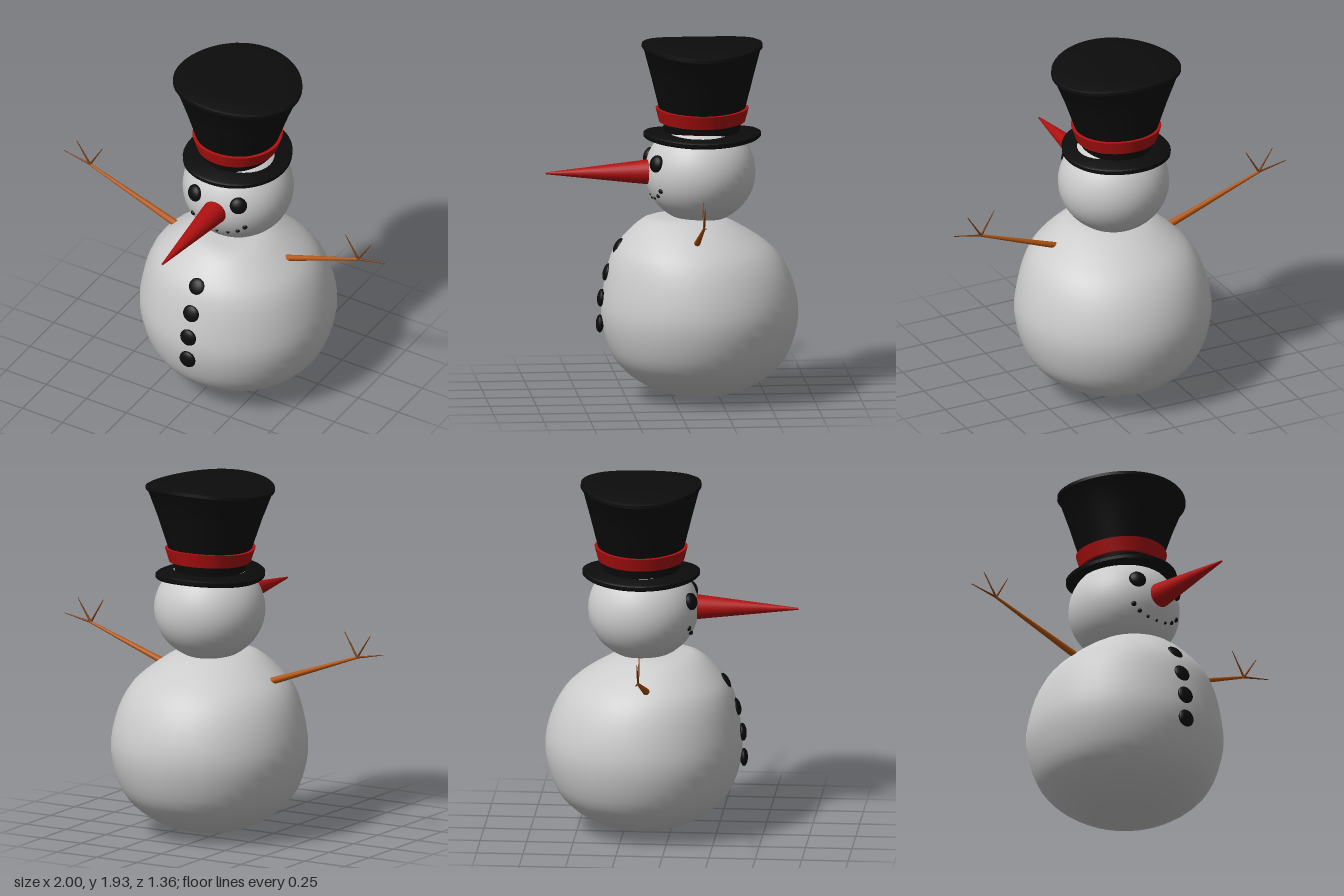
import * as THREE from 'three';
import { toCreasedNormals } from 'three/addons/utils/BufferGeometryUtils.js';

const mat = (color) => new THREE.MeshStandardMaterial({ color });
const snow = mat(0xcccccc), black = mat(0x0c0c0c), red = mat(0xb01010), wood = mat(0xb4560f), twigWood = mat(0x7a3d12);

export function createModel() {
  const model = new THREE.Group();

  const add = (name, geometry, material, x = 0, y = 0, z = 0, parent = model) => {
    const mesh = new THREE.Mesh(geometry, material);
    mesh.name = name;
    mesh.position.set(x, y, z);
    parent.add(mesh);
    return mesh;
  };

  // Move every vertex by a rule, then rebuild smooth normals with sharp edges
  const deform = (geometry, rule) => {
    const p = geometry.attributes.position;
    const v = new THREE.Vector3();
    for (let i = 0; i < p.count; i++) {
      rule(v.fromBufferAttribute(p, i));
      p.setXYZ(i, v.x, v.y, v.z);
    }
    return toCreasedNormals(geometry, 0.7);
  };
  const points = (list) => list.map(([r, y]) => new THREE.Vector2(r, y));

  // Body: round lathe whose top leans slightly forward
  const bodyCurve = new THREE.SplineCurve(points([
    [0, 0], [0.155, 0.025], [0.29, 0.075], [0.41, 0.16], [0.485, 0.27], [0.53, 0.45],
    [0.51, 0.62], [0.455, 0.77], [0.37, 0.87], [0.22, 0.975], [0.1, 0.992], [0, 0.995],
  ]));
  const bodyProfile = bodyCurve.getPoints(33);
  bodyProfile.forEach((p) => p.set(Math.max(p.x, 0), Math.max(p.y, 0)));
  const lean = (y) => 0.09 * Math.pow(Math.max(0, (y - 0.45) / 0.54), 2.5);
  const bodyGeo = deform(new THREE.LatheGeometry(bodyProfile, 40), (v) => { v.z += lean(v.y); });
  add('body', bodyGeo, snow, 0.065, 0, -0.145);

  // Head
  const headCenter = new THREE.Vector3(0.062, 1.23, -0.148);
  const headSize = new THREE.Vector3(0.3, 0.278, 0.297);
  const head = add('head', new THREE.SphereGeometry(1, 36, 24), snow, ...headCenter.toArray());
  head.scale.copy(headSize);

  // A flattened pebble pressed onto the front of the head
  const pebble = (name, x, y, radius, depth) => {
    const dx = (x - headCenter.x) / headSize.x, dy = (y - headCenter.y) / headSize.y;
    const dz = Math.sqrt(1 - dx * dx - dy * dy);
    const mesh = add(name, new THREE.SphereGeometry(1, 18, 12), black, x, y, headCenter.z + dz * headSize.z);
    mesh.scale.set(radius, radius, depth);
    const normal = new THREE.Vector3(dx / headSize.x, dy / headSize.y, dz / headSize.z).normalize();
    mesh.quaternion.setFromUnitVectors(new THREE.Vector3(0, 0, 1), normal);
  };
  pebble('rightEye', -0.05, 1.3, 0.047, 0.03);
  pebble('leftEye', 0.21, 1.3, 0.047, 0.03);
  [[-0.067, 1.155, 0.014], [-0.03, 1.123, 0.012], [0.024, 1.103, 0.009], [0.083, 1.096, 0.008],
    [0.147, 1.103, 0.009], [0.2, 1.123, 0.012], [0.238, 1.155, 0.014]]
    .forEach(([x, y, r]) => pebble('mouthPebble', x, y, r, r * 0.8));

  // Carrot nose
  const nose = add('nose', new THREE.CylinderGeometry(0.005, 0.073, 0.6, 24), red, 0.084, 1.235, 0.385);
  nose.rotation.x = Math.PI / 2;

  // Buttons follow the curve of the belly
  [[0.41, 0.393, 0.02], [0.55, 0.386, 0.1], [0.69, 0.355, 0.27], [0.83, 0.293, 0.52]].forEach(([y, z, tilt]) => {
    const button = add('button', new THREE.SphereGeometry(1, 20, 12), black, 0.067, y, z);
    button.scale.set(0.048, 0.048, 0.021);
    button.rotation.x = -tilt;
  });

  // Stick arms with three twigs, mirrored
  const stick = (name, parent, a, b, ra, rb, material) => {
    const from = new THREE.Vector3(a[0], a[1], 0), dir = new THREE.Vector3(b[0], b[1], 0).sub(from);
    const mesh = add(name, new THREE.CylinderGeometry(rb, ra, dir.length(), 12), material, 0, 0, 0, parent);
    mesh.position.copy(from).addScaledVector(dir, 0.5);
    mesh.quaternion.setFromUnitVectors(new THREE.Vector3(0, 1, 0), dir.normalize());
  };
  for (const side of [-1, 1]) {
    const arm = new THREE.Group();
    arm.name = side < 0 ? 'rightArm' : 'leftArm';
    arm.position.z = -0.103;
    const wrist = [side * 0.836, 1.053];
    stick('armStick', arm, [side * 0.22, 0.832], wrist, 0.021, 0.007, wood);
    [[1, 1.085], [0.918, 1.178], [0.758, 1.185]].forEach(([x, y]) =>
      stick('twig', arm, wrist, [side * x, y], 0.006, 0.002, twigWood));
    model.add(arm);
  }

  // Top hat: every piece is arched sideways, which widens it towards the top
  const hat = new THREE.Group();
  hat.name = 'topHat';
  hat.position.set(0.052, 0, -0.159);
  model.add(hat);
  const hatPart = (name, profile, material) => {
    const geometry = deform(new THREE.LatheGeometry(points(profile), 48), (v) => {
      v.x *= 0.9 + 0.2 * (v.y - 1.42) / 0.51;
      v.y -= 0.27 * v.x * v.x;
    });
    add(name, geometry, material, 0, 0, 0, hat);
  };
  hatPart('brim', [[0, 1.415], [0.16, 1.415], [0.305, 1.415], [0.316, 1.425], [0.316, 1.443],
    [0.305, 1.45], [0.16, 1.45], [0, 1.45]], black);
  hatPart('crown', [[0.2, 1.43], [0.207, 1.48], [0.238, 1.6], [0.275, 1.75], [0.313, 1.895], [0.325, 1.91],
    [0.323, 1.927], [0.31, 1.932], [0.2, 1.932], [0.1, 1.932], [0, 1.932]], black);
  hatPart('hatBand', [[0.2, 1.503], [0.231, 1.503], [0.25, 1.578], [0.225, 1.578], [0.2, 1.503]], red);

  return model;
}
